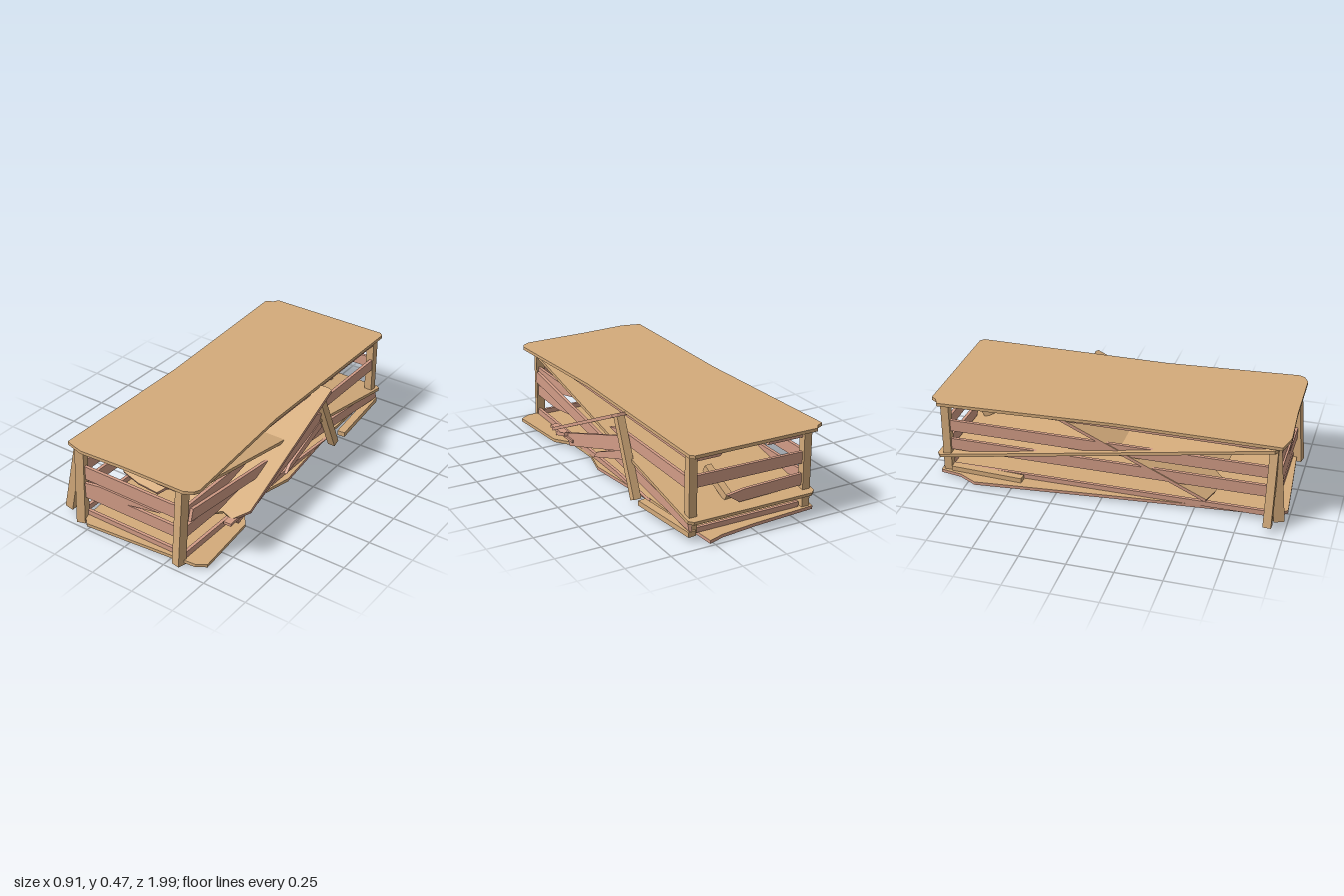
import * as THREE from 'three';

const wood = new THREE.MeshStandardMaterial({ color: 0xd4ab7b });
const raw = new THREE.MeshStandardMaterial({ color: 0xd29c86 });

export function createModel() {
  const model = new THREE.Group();

  function add(name, geometry, material) {
    const mesh = new THREE.Mesh(geometry, material);
    mesh.name = name;
    model.add(mesh);
    return mesh;
  }

  // Extruded polygon, centred on its thickness
  function plate(points, thickness) {
    const shape = new THREE.Shape(points.map(([x, y]) => new THREE.Vector2(x, y)));
    return new THREE.ExtrudeGeometry(shape, { depth: thickness, bevelEnabled: false })
      .translate(0, 0, -thickness / 2);
  }

  // Horizontal board from an (x, z) outline, counter-clockwise from above;
  // the edges that end at the listed corners show raw broken wood
  function board(name, outline, position, tilt = 0, broken = []) {
    const geometry = plate(outline.map(([x, z]) => [x, -z]), 0.018).rotateX(-Math.PI / 2);
    const n = outline.length;
    const lids = geometry.groups[0].count;
    geometry.clearGroups();
    geometry.addGroup(0, lids, 0);
    for (let j = 0; j < n; j++) {
      geometry.addGroup(lids + j * 6, 6, broken.includes(n - 1 - j) ? 1 : 0);
    }
    const mesh = add(name, geometry, [wood, raw]);
    mesh.position.set(...position);
    mesh.rotation.x = tilt;
  }

  // Square-cut timber between two points
  function beam(name, a, b, width, height, material = wood) {
    const start = new THREE.Vector3(...a), end = new THREE.Vector3(...b);
    const mesh = add(name, new THREE.BoxGeometry(width, height, start.distanceTo(end)), material);
    mesh.position.copy(start).add(end).multiplyScalar(0.5);
    mesh.lookAt(end);
  }

  // Upright planks: (x, y) outlines across the ends, (z, y) outlines along the sides
  function endPlank(name, z, points) {
    add(name, plate(points, 0.018), raw).position.z = z;
  }
  function sidePlank(name, x, points) {
    const geometry = plate(points.map(([z, y]) => [-z, y]), 0.018).rotateY(Math.PI / 2);
    add(name, geometry, raw).position.x = x;
  }

  // Warped top with clipped corners
  board('topBoard', [
    [0.42, 0.91], [0.405, 0.94], [0.36, 0.965], [0, 0.97], [-0.27, 0.985], [-0.35, 0.965], [-0.38, 0.955],
    [-0.38, 0.07], [-0.43, -0.9], [-0.39, -0.92], [-0.37, -0.95], [0.34, -0.95], [0.362, -0.93], [0.362, 0.17],
  ].reverse(), [0, 0.466, 0]);

  // Bottom board, skewed, with splintered edges
  board('bottomBoard', [
    [0.452, 0.9], [0.415, 0.52], [0.34, 0.42], [0.33, 0.22], [0.37, 0.05], [0.34, -0.2], [0.31, -0.45],
    [0.3, -0.7], [0.28, -1], [0.19, -0.97], [-0.02, -0.945], [-0.38, -0.92], [-0.4, -0.8], [-0.455, -0.7],
    [-0.38, 0.07], [-0.3, 0.95], [-0.26, 0.99], [0.4, 0.935],
  ], [0, 0.021, 0], 0, [2, 3, 4, 5, 6, 7, 8, 9, 10, 12, 13]);

  // Long fallen shelf, high at the front
  board('fallenShelf', [
    [0.365, 0.93], [0.365, -0.94], [0.34, -0.96], [-0.355, -0.96], [-0.38, -0.94],
    [-0.38, 0.93], [-0.355, 0.95], [0.34, 0.95],
  ], [0, 0.278, 0], -0.175);

  // Snapped shelf, high at its back end
  board('snappedShelf', [
    [0.435, 0.37], [0.435, -0.47], [0.41, -0.48], [-0.36, -0.45], [-0.36, 0.44], [-0.24, 0.47],
    [-0.1, 0.48], [-0.07, 0.43], [0.03, 0.41], [0.06, 0.47], [0.22, 0.48], [0.3, 0.43], [0.37, 0.45],
  ], [0, 0.258, 0.165], 0.43, [0, 5, 6, 7, 8, 9, 10, 11, 12]);

  // Corner posts
  beam('frontLeftPost', [0.317, 0.457, 0.912], [0.31, 0.003, 0.95], 0.048, 0.052);
  beam('frontRightPost', [-0.332, 0.457, 0.912], [-0.32, 0.003, 0.95], 0.048, 0.058);
  beam('backLeftPost', [0.325, 0.457, -0.885], [0.325, 0.04, -0.885], 0.045, 0.045);
  beam('backRightPost', [-0.345, 0.457, -0.885], [-0.345, 0.03, -0.885], 0.045, 0.045);

  // Loose posts
  beam('leaningFrontPost', [-0.335, 0.45, 0.91], [-0.432, 0.025, 0.91], 0.044, 0.048);
  beam('leaningSidePost', [0.375, 0.43, -0.225], [0.375, 0.025, -0.405], 0.044, 0.044);
  beam('lyingLeftPost', [0.38, 0.043, -0.48], [0.335, 0.043, -0.92], 0.045, 0.028);
  beam('lyingRightPost', [-0.375, 0.043, -0.45], [-0.355, 0.043, -0.86], 0.042, 0.028);
  beam('postStub', [0.1, 0.25, -0.66], [0.08, 0.15, -0.84], 0.04, 0.04);

  // Aprons under the top and along the bottom
  for (const x of [-0.345, 0.335]) {
    sidePlank('topSideApron', x, [[0.9, 0.43], [0.9, 0.457], [-0.87, 0.457], [-0.87, 0.43]]);
  }
  sidePlank('bottomSideApron', -0.335, [[0.92, 0.03], [0.92, 0.06], [-0.87, 0.055], [-0.87, 0.03]]);
  sidePlank('brokenSideApron', 0.325, [[0.92, 0.03], [0.92, 0.065], [0.3, 0.06], [-0.1, 0.055], [-0.46, 0.03]]);
  for (const z of [0.915, -0.885]) {
    endPlank('topEndApron', z, [
      [-0.32, 0.415], [-0.11, 0.415], [-0.12, 0.428], [0.155, 0.428], [0.165, 0.415],
      [0.31, 0.415], [0.31, 0.457], [-0.32, 0.457],
    ]);
    endPlank('bottomEndApron', z, [[-0.31, 0.03], [0.3, 0.03], [0.3, 0.058], [-0.31, 0.058]]);
  }

  // End rails
  endPlank('frontUpperRail', 0.92, [[-0.32, 0.257], [0.3, 0.257], [0.3, 0.342], [0.25, 0.335], [-0.32, 0.335]]);
  endPlank('frontLowerRail', 0.93, [
    [-0.31, 0.15], [0.3, 0.15], [0.3, 0.217], [-0.02, 0.219], [0.19, 0.256], [-0.2, 0.256], [-0.31, 0.238],
  ]);
  endPlank('backUpperRail', -0.885, [[-0.34, 0.27], [0.32, 0.275], [0.32, 0.34], [-0.34, 0.335]]);
  endPlank('backBrokenRail', -0.885, [[-0.34, 0.15], [0.05, 0.14], [0.12, 0.19], [0.02, 0.205], [-0.34, 0.215]]);

  // Side rails: whole on one side, snapped on the other
  for (const y of [0.302, 0.188]) {
    beam('sideRail', [-0.345, y, 0.9], [-0.345, y, -0.88], 0.018, 0.066, raw);
  }
  sidePlank('upperFrontStub', 0.325, [[0.91, 0.265], [0.91, 0.335], [0.47, 0.335], [0.4, 0.31], [0.58, 0.27]]);
  sidePlank('lowerFrontStub', 0.325, [[0.92, 0.155], [0.92, 0.22], [0.6, 0.22], [0.45, 0.185], [0.65, 0.155]]);
  sidePlank('upperBackStub', 0.335, [[-0.88, 0.27], [-0.88, 0.335], [-0.2, 0.335], [-0.05, 0.3], [-0.25, 0.27]]);
  sidePlank('slippedRail', 0.345, [[0.9, 0.25], [0.88, 0.315], [0.4, 0.26], [-0.9, 0.115], [-0.92, 0.06], [0.3, 0.185]]);
  sidePlank('fallenRail', 0.365, [[0.4, 0.025], [0.44, 0.09], [-0.2, 0.31], [-0.27, 0.29], [-0.25, 0.24], [0.08, 0.13]]);
  sidePlank('splinter', 0.37, [[0.08, 0.08], [0.04, 0.125], [-0.25, 0.245], [-0.27, 0.2]]);

  // Debris on the bottom board
  beam('looseSlat', [0.37, 0.072, 0.62], [0.36, 0.07, 0.35], 0.045, 0.016, raw);
  beam('looseSlat', [0.375, 0.05, 0.55], [0.38, 0.09, 0.42], 0.03, 0.02, raw);
  return model;
}
